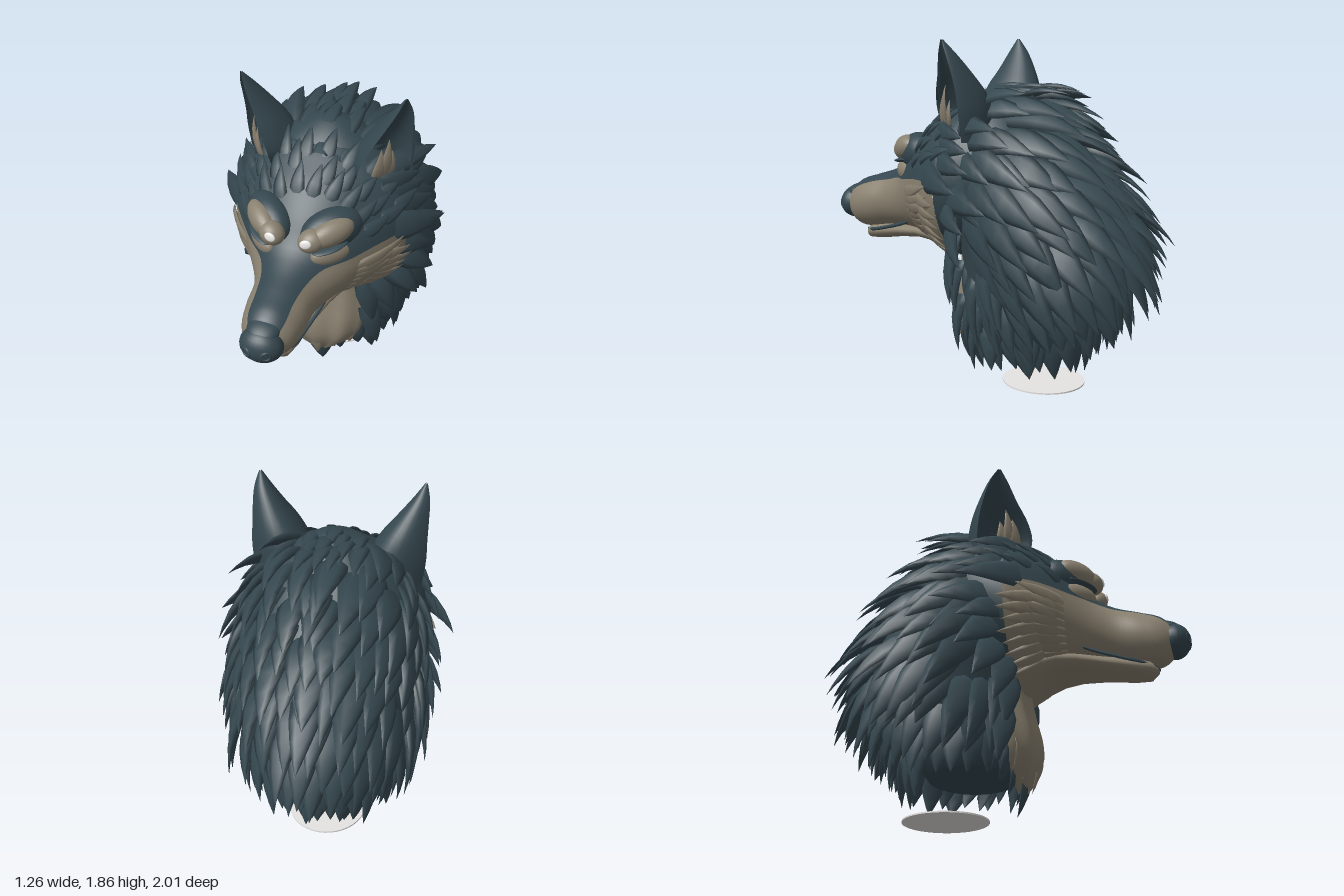
import * as THREE from 'three';
import { mergeGeometries } from 'three/addons/utils/BufferGeometryUtils.js';

const V = (x, y, z) => new THREE.Vector3(x, y, z);
const paint = (name, color, side = THREE.FrontSide) => {
  const m = new THREE.MeshStandardMaterial({ color, side });
  m.name = name;
  return m;
};

// Seeded jitter in -1..1
let seed = 7;
const jitter = () => {
  seed = (seed * 16807) % 2147483647;
  return (seed / 2147483647) * 2 - 1;
};

// Skin over rows of points; rings run counter-clockwise about the advancing direction
function loft(rows, closed = true) {
  const n = rows[0].length, pos = [], idx = [];
  rows.forEach(r => r.forEach(p => pos.push(p.x, p.y, p.z)));
  for (let i = 0; i < rows.length - 1; i++) {
    for (let j = 0; j < (closed ? n : n - 1); j++) {
      const k = (j + 1) % n, a = i * n + j, b = i * n + k;
      idx.push(a, b, b + n, a, b + n, a + n);
    }
  }
  const g = new THREE.BufferGeometry();
  g.setAttribute('position', new THREE.Float32BufferAttribute(pos, 3));
  g.setIndex(idx);
  g.computeVertexNormals();
  return g;
}
const range = (n, a, b) => Array.from({ length: n + 1 }, (_, i) => a + (b - a) * i / n);
const ring = (n, f) => Array.from({ length: n }, (_, i) => f(i / n * Math.PI * 2));
// Smooth table lookup: first column is the key
const table = rows => {
  const t = new THREE.CubicInterpolant(rows.map(r => r[0]), rows.flatMap(r => r.slice(1)), rows[0].length - 1);
  return k => [...t.evaluate(k)];
};
const normalAt = (f, k, a) => {
  const da = f(k, a + 0.02).sub(f(k, a - 0.02)), dk = f(k + 0.01, a).sub(f(k - 0.01, a));
  return da.cross(dk).normalize();
};

// Pointed, flattened lock of fur
function tuft(root, dir, normal, length, width, droop = 0.08) {
  const F = dir.clone().normalize(), B = normal.clone().cross(F).normalize(), N = F.clone().cross(B);
  const w = [0.8, 1, 0.9, 0.6, 0.28, 0.01];
  return loft([0, 0.2, 0.42, 0.66, 0.86, 1].map((t, i) => {
    const c = root.clone().addScaledVector(F, length * t).addScaledVector(N, length * 0.3 * t * (1 - t));
    c.y -= droop * length * t * t;
    return ring(6, a => c.clone().addScaledVector(B, Math.cos(a) * width * w[i])
      .addScaledVector(N, Math.sin(a) * width * w[i] * 0.32));
  }));
}

// Mane core: height, half width, front z, back z
const coreTable = table([
  [0.22, 0.25, 0.04, -0.42], [0.4, 0.34, 0.09, -0.56], [0.6, 0.42, 0.10, -0.70], [0.8, 0.46, 0.13, -0.75],
  [1.0, 0.46, 0.22, -0.70], [1.2, 0.44, 0.26, -0.56], [1.4, 0.36, 0.2, -0.40], [1.55, 0.22, 0.10, -0.25], [1.62, 0.10, 0.0, -0.17]]);
const core = (y, a) => {
  const [rx, zf, zb] = coreTable(y);
  return V(rx * Math.sin(a), y, (zf + zb) / 2 + (zf - zb) / 2 * Math.cos(a));
};

// Face: z, top, bottom, half width, height where the two colours meet
const faceTable = table([
  [-0.25, 1.50, 0.80, 0.40, 1.14], [-0.1, 1.58, 0.74, 0.46, 1.14], [0.08, 1.56, 0.68, 0.485, 1.14],
  [0.2, 1.49, 0.72, 0.43, 1.15], [0.3, 1.42, 0.77, 0.36, 1.14], [0.4, 1.32, 0.79, 0.285, 1.12],
  [0.5, 1.20, 0.80, 0.215, 1.11], [0.6, 1.14, 0.80, 0.17, 1.085], [0.75, 1.09, 0.78, 0.158, 1.055],
  [0.86, 1.05, 0.79, 0.128, 1.01], [0.93, 0.98, 0.85, 0.07, 0.95]]);
const face = (z, a) => {
  const [top, bottom, w] = faceTable(z);
  return V(-w * Math.sin(a), (top + bottom) / 2 + (top - bottom) / 2 * Math.cos(a), z);
};
const seam = z => {
  const [top, bottom, , y] = faceTable(z);
  return Math.acos((y - (top + bottom) / 2) / ((top - bottom) / 2));
};

export function createModel() {
  const model = new THREE.Group();
  model.name = 'wolfHead';
  const dark = paint('slateFur', 0x35474f), tan = paint('tanFur', 0x8a8170);
  const white = paint('paleWhite', 0xe6e4e2, THREE.DoubleSide);
  const add = (name, geometry, material, parent = model) => {
    const m = new THREE.Mesh(geometry, material);
    m.name = name;
    parent.add(m);
    return m;
  };
  const ball = (name, mat, p, s, r = [0, 0, 0], parent = model) => {
    const m = add(name, new THREE.SphereGeometry(1, 24, 16), mat, parent);
    m.position.set(...p);
    m.scale.set(...s);
    m.rotation.set(...r);
  };

  // Mane core, closed at both ends
  const cap = (y, z) => ring(36, () => V(0, y, z));
  add('maneCore', loft([cap(0.22, -0.2), ...range(24, 0.22, 1.62).map(y => ring(36, a => core(y, a))), cap(1.64, -0.1)]), dark);

  // Mane locks in staggered rows, flowing down at the neck and back at the crown
  const mane = [];
  range(9, 0.4, 1.52).forEach((y, row) => {
    const k = (y - 0.3) / 1.24, start = y < 0.7 ? 0.6 : y < 1.35 ? 1.1 : 1.0;
    const n = Math.round((Math.PI - start) * (y > 1.35 ? 3 : 4));
    for (const s of [1, -1]) for (let i = 0; i <= n; i++) {
      const a = s * Math.min(Math.PI, start + (Math.PI - start) * (i + (row % 2) * 0.5 + jitter() * 0.2) / n);
      if (s < 0 && a <= -Math.PI) continue;
      const yy = y + jitter() * 0.035, P = core(yy, a), N = normalAt(core, yy, a);
      const D = V(0, -1 + 0.9 * k, -0.12 - 0.95 * k).normalize();
      D.addScaledVector(N, -0.5 * D.dot(N) + 0.25 + jitter() * 0.1);
      const L = (0.21 + 0.16 * Math.sin(Math.min(1, k * 1.6) * Math.PI / 2)) * (1 + jitter() * 0.18);
      mane.push(tuft(P.addScaledVector(N, -0.02), D, N, L, 0.08 + jitter() * 0.014));
    }
  });
  // Crown locks between the ears
  for (const z of [0.14, 0, -0.12, -0.2]) for (const x of [-0.12, -0.05, 0.02, 0.09])
    mane.push(tuft(V(x + jitter() * 0.02, 1.605 - Math.abs(x) * 0.3 - Math.max(0, z) * 0.5, z + jitter() * 0.03),
      V(x * 0.8, 0.13, -1), V(0, 1, 0), 0.3, 0.05));
  // Large cheek fins and shoulder locks: root, tip, width
  for (const s of [1, -1]) for (const [r, t, w] of [
    [[0.36, 1.19, 0.2], [0.63, 1.13, -0.13], 0.085], [[0.37, 1.27, 0.14], [0.55, 1.22, -0.16], 0.07],
    [[0.36, 1.34, 0.12], [0.51, 1.32, -0.14], 0.06], [[0.34, 1.41, 0.12], [0.49, 1.39, -0.1], 0.05],
    [[0.4, 1.1, 0.04], [0.59, 1.03, -0.28], 0.08], [[0.41, 1.02, 0.06], [0.57, 0.92, -0.14], 0.07],
    [[0.4, 0.94, 0.02], [0.59, 0.75, -0.14], 0.08], [[0.36, 0.84, 0.02], [0.53, 0.6, -0.06], 0.08],
    [[0.3, 0.78, 0.06], [0.42, 0.5, 0.02], 0.075], [[0.24, 0.7, 0.06], [0.31, 0.4, 0.05], 0.07],
    [[0.26, 0.52, 0.04], [0.33, 0.22, 0.02], 0.07], [[0.33, 0.46, -0.18], [0.37, 0.16, -0.2], 0.085],
    [[0.31, 0.46, -0.36], [0.35, 0.16, -0.42], 0.085], [[0.2, 0.46, -0.5], [0.2, 0.16, -0.58], 0.085],
    [[0.07, 0.48, -0.55], [0.08, 0.17, -0.62], 0.08]]) {
    const a = V(s * r[0], r[1], r[2]), b = V(s * t[0], t[1], t[2]);
    const out = r[2] < -0.1 ? V(s * r[0], 0.1, r[2] + 0.2) : V(s * 0.75, 0.2, 0.6);
    mane.push(tuft(a, b.clone().sub(a), out, a.distanceTo(b), w, 0));
  }
  // Pointed locks below the bib
  for (const [x, tip, w] of [[0, 0.01, 0.1], [0.09, 0.1, 0.08], [-0.09, 0.1, 0.08], [0.18, 0.15, 0.075], [-0.18, 0.15, 0.075],
    [0.25, 0.17, 0.06], [-0.25, 0.17, 0.06]])
    mane.push(tuft(V(x, 0.38, 0.09 - Math.abs(x) * 0.3), V(x * 0.15, tip - 0.38, -0.04), V(0, 0, 1), 0.38 - tip, w, 0));
  add('maneLocks', mergeGeometries(mane), dark);

  // Face: full dark ring behind, then dark top and tan cheeks with muzzle
  const strip = (zs, from, to) => loft(zs.map(z => range(28, from(z), to(z)).map(a => face(z, a))), false);
  add('headBack', loft(range(6, -0.25, 0.08).map(z => ring(36, a => face(z, a)))), dark);
  const zs = range(30, 0.08, 0.93);
  add('foreheadAndBridge', strip(zs, z => -seam(z), seam), dark);
  add('cheeksAndMuzzle', strip(zs, seam, z => Math.PI * 2 - seam(z)), tan);

  // Locks lying along the face
  const faceLock = (z, a, L, W, lift) => {
    const N = normalAt(face, z, a), D = face(z - 0.03, a).sub(face(z, a)).normalize();
    return tuft(face(z, a).addScaledVector(N, -W * 0.35), D.addScaledVector(N, lift), N, L, W, 0.02);
  };
  const brows = [], cheeks = [];
  for (const s of [1, -1]) {
    [0.34, 0.25, 0.15].forEach((z, i) => range(4, 0.12 + 0.1 * (i % 2), 1.15).forEach(a =>
      brows.push(faceLock(z + jitter() * 0.025, s * a, 0.19, 0.04, 0.1))));
    [[0.38, 0.31], [0.26, 0.25]].forEach(([z, L], i) => range(7, 1.66 + i * 0.07, 2.6 + i * 0.07).forEach(a =>
      cheeks.push(faceLock(z, s * a, L * (1 + jitter() * 0.14), 0.042, 0.02))));
  }
  add('foreheadLocks', mergeGeometries(brows), dark);
  add('cheekLocks', mergeGeometries(cheeks), tan);

  // Lower jaw: z, top, bottom, half width
  const jaw = [[0.1, 0.86, 0.63, 0.24], [0.2, 0.87, 0.7, 0.22], [0.3, 0.87, 0.745, 0.2], [0.4, 0.86, 0.755, 0.17],
    [0.55, 0.84, 0.74, 0.13], [0.7, 0.82, 0.715, 0.11], [0.78, 0.80, 0.71, 0.085], [0.82, 0.77, 0.74, 0.03], [0.825, 0.755, 0.755, 0]];
  add('lowerJaw', loft(jaw.map(([z, t, b, w]) => ring(24, a =>
    V(-w * Math.sin(a), (t + b) / 2 + (t - b) / 2 * Math.cos(a), z)))), tan);
  // Dark lip line around the mouth
  const lip = [[0.17, 0.88, 0.4], [0.15, 0.84, 0.5], [0.125, 0.805, 0.62], [0.09, 0.775, 0.74]];
  const lipPath = new THREE.CatmullRomCurve3([...lip.map(p => V(...p)), V(0, 0.76, 0.82),
    ...lip.slice().reverse().map(([x, y, z]) => V(-x, y, z))]);
  add('lips', new THREE.TubeGeometry(lipPath, 48, 0.01, 8), dark);

  // Nose
  ball('nose', dark, [0, 0.915, 0.915], [0.112, 0.094, 0.085]);
  ball('noseBridge', dark, [0, 0.985, 0.88], [0.085, 0.045, 0.09], [0.25, 0, 0]);

  // Chest bib with soft vertical ridges: height, front z, half width
  const bib = table([[0.13, 0.10, 0.02], [0.2, 0.145, 0.13], [0.3, 0.185, 0.22], [0.4, 0.185, 0.25],
    [0.55, 0.15, 0.26], [0.68, 0.13, 0.24], [0.8, 0.17, 0.18]]);
  add('chestBib', loft(range(18, 0.13, 0.8).map(y => {
    const [zf, w] = bib(y);
    return range(40, -1.57, 1.57).map(a =>
      V(w * Math.sin(a), y, zf - (0.03 + w * 0.5) * (1 - Math.cos(a)) + 0.006 * Math.cos(a * 9)));
  }), false), tan);
  add('bibLocks', mergeGeometries([-0.17, -0.09, 0, 0.09, 0.17].map(x =>
    tuft(V(x, 0.4, 0.155 - Math.abs(x) * 0.4), V(x * 0.1, -1, -0.1), V(0, 0, 1), 0.27 - Math.abs(x) * 0.5, 0.055, 0))), tan);

  // One side's ear, eye and nostril, then mirrored
  const side = new THREE.Group();
  side.name = 'leftFeatures';
  // Cupped ear opening forward and outward: height, x, z, half width, half depth
  const ear = table([[1.36, 0.29, -0.01, 0.15, 0.15], [1.5, 0.30, 0.01, 0.156, 0.18], [1.6, 0.33, 0.015, 0.126, 0.158],
    [1.7, 0.372, 0.02, 0.085, 0.108], [1.8, 0.412, 0.035, 0.042, 0.055], [1.87, 0.43, 0.05, 0.006, 0.008]]);
  add('ear', loft(range(18, 1.36, 1.87).map(y => {
    const [x, z, rx, rz] = ear(y);
    return ring(32, a => {
      const c = Math.cos(a), u = 0.45 + (c > 0 ? -0.85 : 1.45) * c, v = Math.sin(a);
      return V(x + (u + v) * 0.707 * rx, y, z + (u - v) * 0.707 * rz);
    });
  })), dark, side);
  add('innerEarFur', mergeGeometries([[0.33, 0.08, 0.36, 1.65], [0.31, 0.11, 0.33, 1.6], [0.35, 0.05, 0.37, 1.57]].map(([x, z, tx, ty]) =>
    tuft(V(x, 1.43, z), V(tx - x, ty - 1.43, -0.01), V(0.7, 0, 0.7), ty - 1.43, 0.036, 0))), tan, side);
  ball('browBase', dark, [0.165, 1.26, 0.365], [0.17, 0.11, 0.1], [0, 0.75, 0.15], side);
  ball('outerBrow', tan, [0.185, 1.285, 0.43], [0.125, 0.068, 0.062], [0, 0.8, 0.2], side);
  ball('innerBrow', tan, [0.105, 1.262, 0.495], [0.072, 0.06, 0.062], [0, 0.55, 0.3], side);
  ball('lowerLid', tan, [0.182, 1.158, 0.43], [0.115, 0.062, 0.052], [0, 0.8, 0], side);
  ball('eyeSlit', dark, [0.185, 1.213, 0.45], [0.1, 0.013, 0.05], [0, 0.8, 0.15], side);
  ball('eyeHighlight', white, [0.093, 1.275, 0.553], [0.03, 0.023, 0.009], [-0.25, 0.1, 0.2], side);
  const nostril = add('nostril', new THREE.TorusGeometry(0.022, 0.008, 8, 20), dark, side);
  nostril.position.set(0.05, 0.91, 0.984);
  nostril.rotation.set(0, 0.45, 0);
  const mirrored = side.clone();
  mirrored.name = 'rightFeatures';
  mirrored.scale.x = -1;
  model.add(side, mirrored);

  // Thin disc beneath the neck
  const disc = add('baseDisc', new THREE.CylinderGeometry(1, 1, 0.008, 40), white);
  disc.position.set(0, 0.01, -0.33);
  disc.scale.set(0.215, 1, 0.23);
  return model;
}
